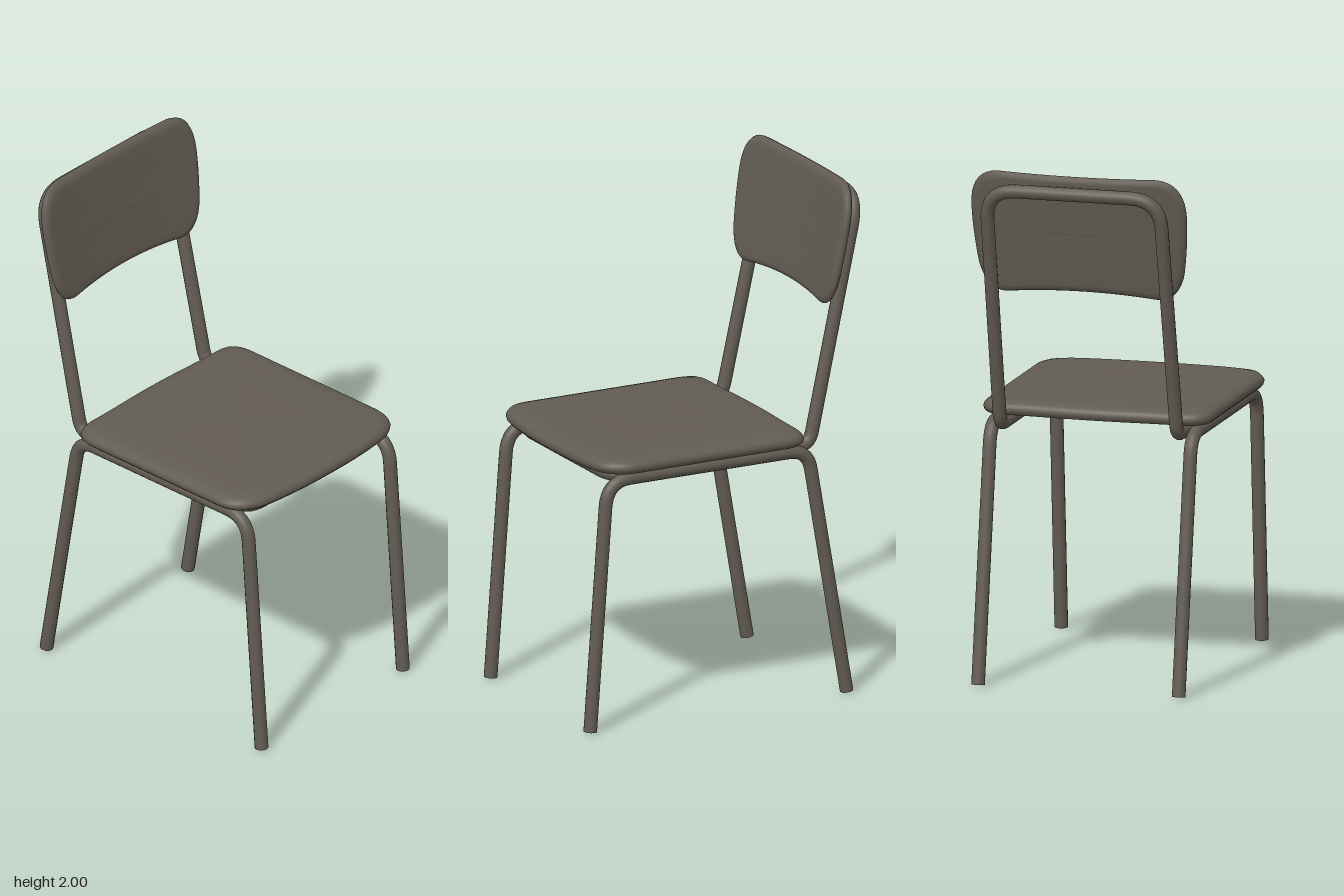
import * as THREE from 'three';

const TUBE_R = 0.026;
const V = (x, y, z) => new THREE.Vector3(x, y, z);

// Path of straight runs with rounded corners; points are [x, y, z, bendLength]
function bentPath(points, closed) {
  const path = new THREE.CurvePath();
  const n = points.length;
  const p = points.map(([x, y, z]) => V(x, y, z));
  const toward = (a, b, d) => a.clone().add(b.clone().sub(a).setLength(d));
  let cursor = p[0];
  for (let i = 1; i < (closed ? n : n - 1); i++) {
    const next = p[(i + 1) % n];
    const d = points[i][3];
    const start = toward(p[i], p[i - 1], d);
    const end = toward(p[i], next, d);
    path.add(new THREE.LineCurve3(cursor, start));
    path.add(new THREE.QuadraticBezierCurve3(start, p[i], end));
    cursor = end;
  }
  path.add(new THREE.LineCurve3(cursor, closed ? p[0] : p[n - 1]));
  return path;
}

// Soft pad: outline rings stacked from underside to top, then placed by a rule
function padGeometry(shape, halfU, halfV, layers, place) {
  const outline = shape.getSpacedPoints(112).slice(0, -1);
  const n = outline.length;
  const positions = [];
  const index = [];
  layers.forEach(([inset, w], j) => {
    outline.forEach((q, i) => {
      const su = inset === 'centre' ? 0 : 1 - inset / halfU;
      const sv = inset === 'centre' ? 0 : 1 - inset / halfV;
      positions.push(...place(q.x * su, q.y * sv, w));
      if (j === 0) return;
      const k = (i + 1) % n;
      const a = (j - 1) * n + i, b = (j - 1) * n + k;
      const c = j * n + k, d = j * n + i;
      index.push(a, b, c, a, c, d);
    });
  });
  const geometry = new THREE.BufferGeometry();
  geometry.setAttribute('position', new THREE.Float32BufferAttribute(positions, 3));
  geometry.setIndex(index);
  geometry.computeVertexNormals();
  return geometry;
}

// Rounded edge profile for a pad of half thickness t
const padLayers = (t, edge) => [
  ['centre', -t], [0.22, -t], [0.12, -t], [edge, -t], [0.012, -t * 0.85], [0.003, -t * 0.45],
  [0, 0], [0.004, t * 0.45], [0.014, t * 0.8], [edge, t], [0.07, t], [0.12, t], [0.17, t],
  [0.22, t], ['centre', t],
];

export function createModel() {
  const model = new THREE.Group();
  model.name = 'chair';
  const material = new THREE.MeshStandardMaterial({ color: 0x625c52 });
  material.name = 'warm grey';

  const add = (parent, name, geometry) => {
    const mesh = new THREE.Mesh(geometry, material);
    mesh.name = name;
    parent.add(mesh);
    return mesh;
  };

  // Side frames: front leg, seat rail and rear leg bent from one tube
  for (const [side, x] of [['left', 0.395], ['right', -0.395]]) {
    const frame = new THREE.Group();
    frame.name = side + 'LegFrame';
    const path = bentPath([
      [x, 0.003, 0.588],
      [x, 0.98, 0.515, 0.1],
      [x, 0.98, -0.345, 0.08],
      [x, 0.003, -0.512],
    ], false);
    add(frame, side + 'LegTube', new THREE.TubeGeometry(path, 120, TUBE_R, 14, false));
    // Closed feet
    for (const [end, t, sign] of [['Front', 0, -1], ['Rear', 1, 1]]) {
      const foot = add(frame, side + end + 'Foot', new THREE.CircleGeometry(TUBE_R, 14));
      const point = path.getPoint(t);
      foot.position.copy(point);
      foot.lookAt(point.add(path.getTangent(t).multiplyScalar(sign)));
    }
    model.add(frame);
  }

  // Continuous loop: under the seat, up the back posts and over the top
  const loop = bentPath([
    [0, 0.982, 0.47],
    [0.348, 0.982, 0.47, 0.08],
    [0.348, 0.982, -0.378, 0.05],
    [0.342, 1.932, -0.588, 0.12],
    [-0.342, 1.932, -0.588, 0.12],
    [-0.348, 0.982, -0.378, 0.05],
    [-0.348, 0.982, 0.47, 0.08],
  ], true);
  add(model, 'backFrame', new THREE.TubeGeometry(loop, 320, TUBE_R, 14, true));

  // Seat outline, front edge at negative v
  const seat = new THREE.Shape();
  seat.moveTo(0.45, -0.31);
  seat.lineTo(0.45, 0.36);
  seat.quadraticCurveTo(0.445, 0.445, 0.36, 0.445);
  seat.quadraticCurveTo(0.3, 0.445, 0.2, 0.449);
  seat.quadraticCurveTo(0, 0.461, -0.2, 0.449);
  seat.quadraticCurveTo(-0.3, 0.445, -0.36, 0.445);
  seat.quadraticCurveTo(-0.445, 0.445, -0.45, 0.36);
  seat.lineTo(-0.45, -0.31);
  seat.quadraticCurveTo(-0.445, -0.41, -0.33, -0.435);
  seat.quadraticCurveTo(-0.2, -0.456, 0, -0.456);
  seat.quadraticCurveTo(0.2, -0.456, 0.33, -0.435);
  seat.quadraticCurveTo(0.445, -0.41, 0.45, -0.31);
  add(model, 'seat', padGeometry(seat, 0.45, 0.455, padLayers(0.026, 0.04), (u, v, w) => {
    // Slightly dished top with a soft roll-off near the rim
    const r = Math.max(Math.abs(u) / 0.45, Math.abs(v) / 0.455);
    const crown = w > 0.02 ? 0.008 * (1 - r ** 6) - 0.006 * Math.max(0, 1 - r / 0.7) : 0;
    return [u, 1.031 + w + crown, 0.113 - v];
  }));

  // Backrest outline
  const back = new THREE.Shape();
  back.moveTo(0.405, -0.13);
  back.quadraticCurveTo(0.425, 0, 0.424, 0.1);
  back.quadraticCurveTo(0.42, 0.235, 0.31, 0.24);
  back.quadraticCurveTo(0, 0.232, -0.31, 0.24);
  back.quadraticCurveTo(-0.42, 0.235, -0.424, 0.1);
  back.quadraticCurveTo(-0.425, 0, -0.405, -0.13);
  back.quadraticCurveTo(-0.38, -0.24, -0.3, -0.24);
  back.quadraticCurveTo(0, -0.202, 0.3, -0.24);
  back.quadraticCurveTo(0.38, -0.24, 0.405, -0.13);
  add(model, 'backrest', padGeometry(back, 0.424, 0.24, padLayers(0.02, 0.028), (u, v, w) => {
    // Tilted back and curved around the sitter
    const curve = 0.026 * (u / 0.42) ** 2;
    return [u, 1.758 + v, -0.512 - v * 0.17 + curve + w];
  }));

  return model;
}
